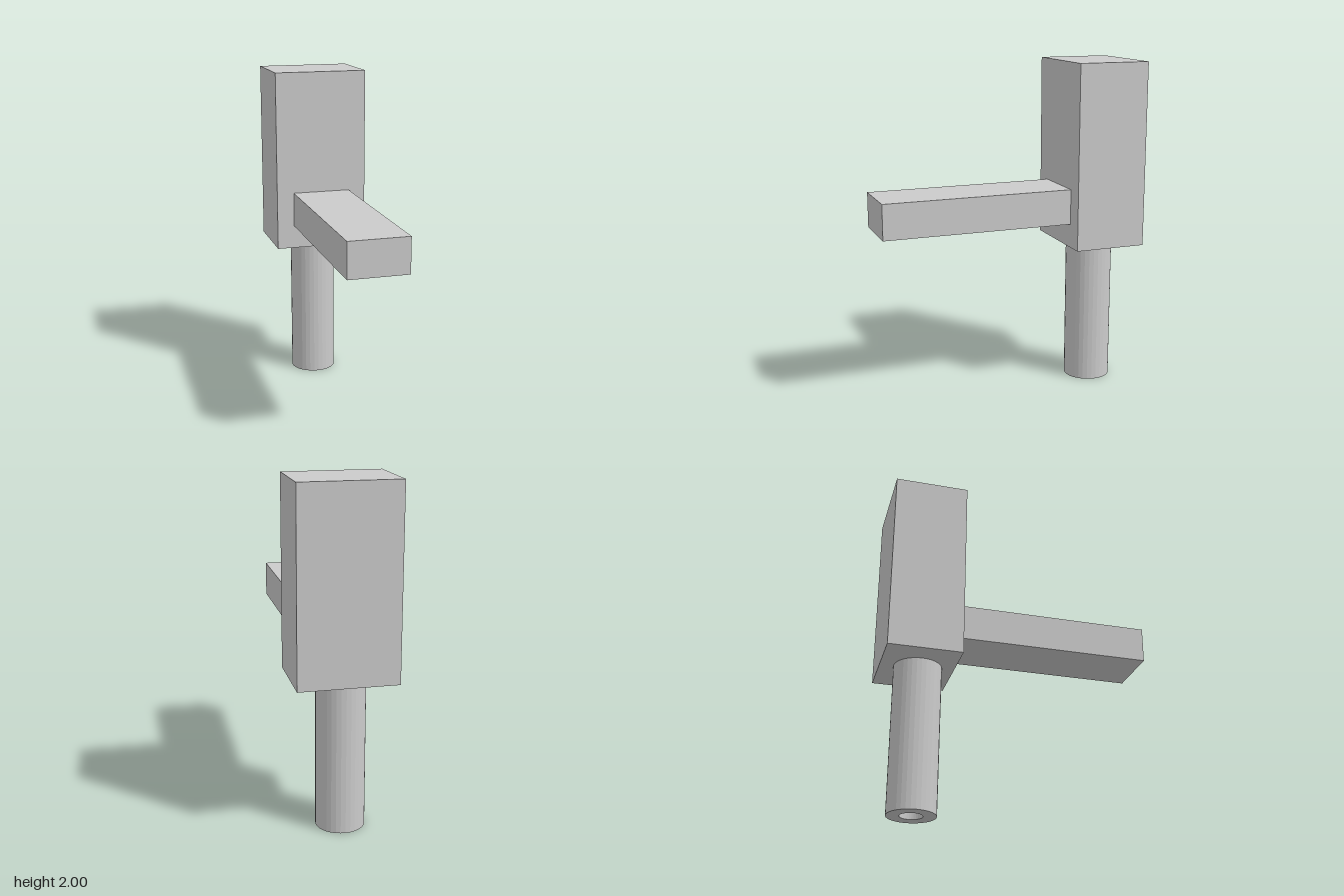
import * as THREE from 'three';

const material = new THREE.MeshStandardMaterial({ color: 0xcccccc, flatShading: true });

function addPart(group, name, geometry, x, y, z) {
  const mesh = new THREE.Mesh(geometry, material);
  mesh.name = name;
  mesh.position.set(x, y, z);
  group.add(mesh);
}

export function createModel() {
  const group = new THREE.Group();
  group.name = 'model';

  // Upright block
  addPart(group, 'body', new THREE.BoxGeometry(0.57, 1.106, 0.436), 0, 1.447, -0.576);

  // Bar reaching forward from the block
  addPart(group, 'arm', new THREE.BoxGeometry(0.358, 0.212, 1.152), 0, 1.143, 0.218);

  // Hollow round post under the block
  const ring = new THREE.Shape().absarc(0, 0, 0.142, 0, Math.PI * 2);
  ring.holes.push(new THREE.Path().absarc(0, 0, 0.066, 0, Math.PI * 2, true));
  const post = new THREE.ExtrudeGeometry(ring, { depth: 0.894, bevelEnabled: false, curveSegments: 16 });
  post.rotateX(-Math.PI / 2);
  addPart(group, 'post', post, -0.006, 0, -0.57);

  return group;
}
